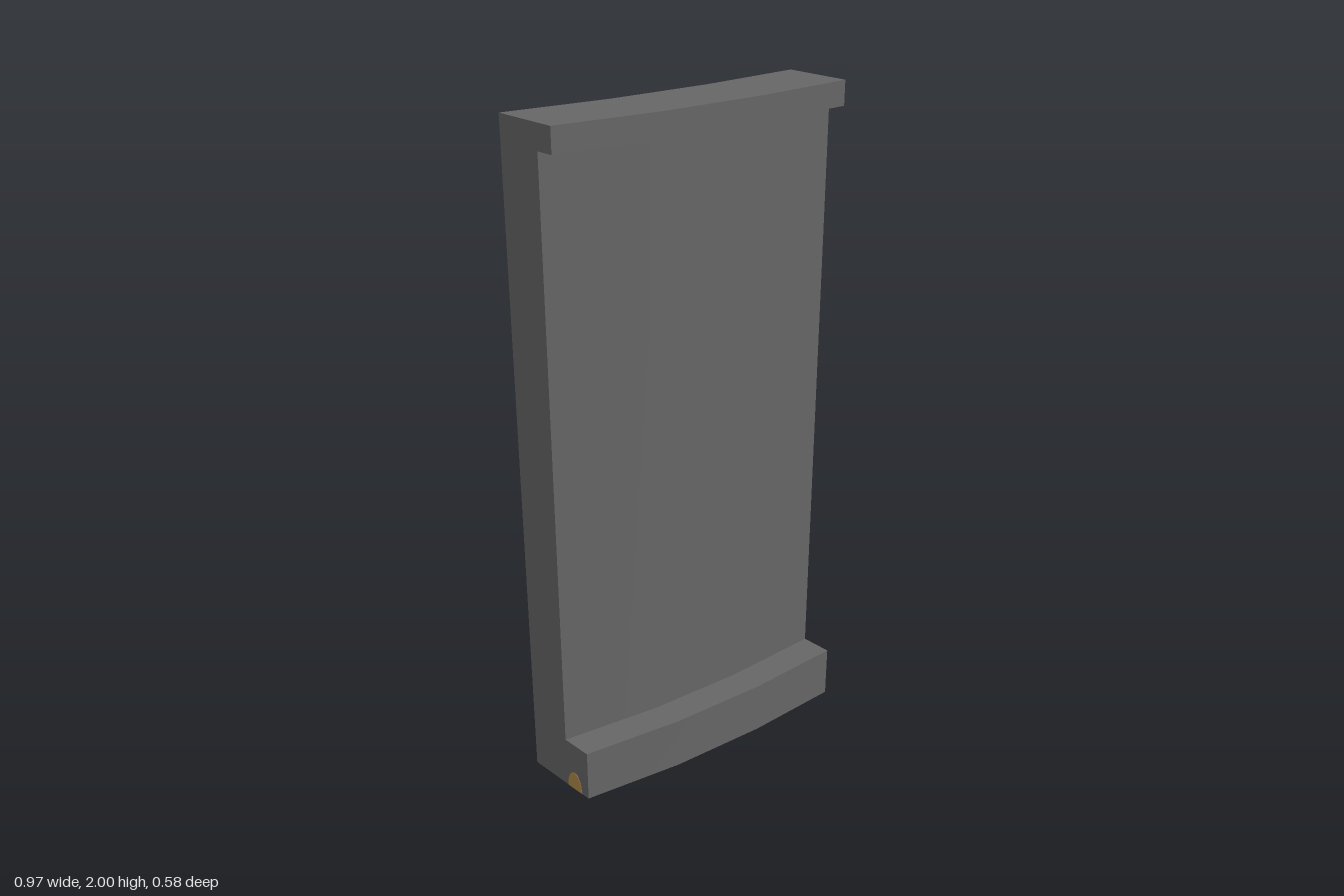
import * as THREE from 'three';

// Depth direction from the back curve to the front of the base (x, z)
const DEPTH = [0.136, 0.197];
// Back edge of the curved panel in plan (x, z)
const BACK = [[-0.485, 0.092], [-0.195, -0.013], [0.083, -0.142], [0.35, -0.293]];

// Sweeps a counterclockwise profile of (depth fraction, height) along a plan path;
// smooth along the path, sharp across the profile
function sweep(profile, path) {
  const pos = [], index = [];
  const vertex = ([t, y], [x, z]) => pos.push(x + t * DEPTH[0], y, z + t * DEPTH[1]);
  profile.forEach((a, i) => {
    const b = profile[(i + 1) % profile.length];
    const start = pos.length / 3;
    path.forEach((p) => { vertex(a, p); vertex(b, p); });
    for (let s = 0; s < path.length - 1; s++) {
      const k = start + s * 2;
      index.push(k, k + 2, k + 3, k, k + 3, k + 1);
    }
  });
  // End caps
  const faces = THREE.ShapeUtils.triangulateShape(profile.map((p) => new THREE.Vector2(...p)), []);
  [path[0], path[path.length - 1]].forEach((p, end) => {
    const start = pos.length / 3;
    profile.forEach((q) => vertex(q, p));
    faces.forEach(([a, b, c]) => {
      if (end) index.push(start + a, start + c, start + b);
      else index.push(start + a, start + b, start + c);
    });
  });
  const geometry = new THREE.BufferGeometry();
  geometry.setAttribute('position', new THREE.Float32BufferAttribute(pos, 3));
  geometry.setIndex(index);
  geometry.computeVertexNormals();
  return geometry;
}

export function createModel() {
  const group = new THREE.Group();
  const stone = new THREE.MeshStandardMaterial({ color: 0x666666 });
  stone.name = 'darkGrey';
  const tan = new THREE.MeshStandardMaterial({ color: 0xb08a48 });
  tan.name = 'tan';

  const add = (name, geometry, material) => {
    const mesh = new THREE.Mesh(geometry, material);
    mesh.name = name;
    group.add(mesh);
    return mesh;
  };

  // Curved panel with a thick base and a small top lip
  const section = [[0, 0], [1, 0], [1, 0.165], [0.6, 0.165], [0.6, 1.93], [0.82, 1.93], [0.82, 2], [0, 2]];
  add('curvedWallPanel', sweep(section, BACK), stone);

  // Small rounded pin marks at the foot of both ends
  const arch = [];
  for (let i = 0; i <= 8; i++) {
    const a = (i / 8) * Math.PI;
    arch.push([0.75 + 0.13 * Math.cos(a), 0.062 * Math.sin(a)]);
  }
  [BACK[0], BACK[3]].forEach(([x, z], i) => {
    const name = i ? 'leftEndPin' : 'rightEndPin';
    add(name, sweep(arch, [[x - 0.001, z], [x + 0.001, z]]), tan);
  });

  // Underside of the pin at the left end
  const foot = add('pinUnderside', new THREE.CylinderGeometry(0.034, 0.034, 0.002, 12, 1, false, Math.PI, Math.PI), tan);
  foot.rotation.y = Math.atan2(DEPTH[0], DEPTH[1]);
  foot.position.set(BACK[3][0] + 0.75 * DEPTH[0], 0, BACK[3][1] + 0.75 * DEPTH[1]);

  return group;
}
